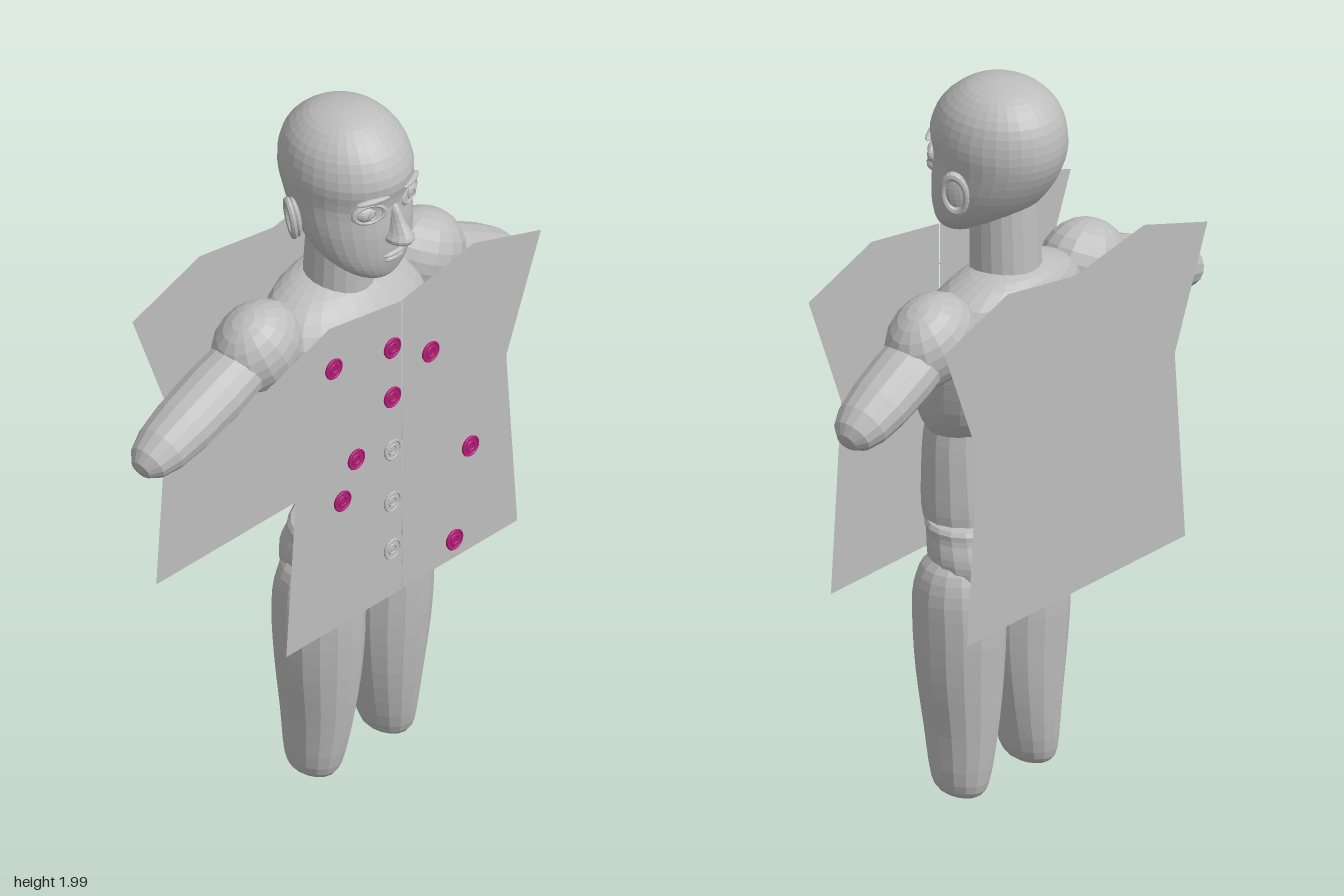
import * as THREE from 'three';

const CX = 0.037; // the figure stands slightly off the garment's centre
const grey = new THREE.MeshStandardMaterial({ color: 0xbdbdbd, flatShading: true, side: THREE.DoubleSide });
grey.name = 'grey';
const magenta = new THREE.MeshStandardMaterial({ color: 0xb01c74, flatShading: true, side: THREE.DoubleSide });
magenta.name = 'magenta';

function add(parent, name, geometry, material = grey, x = 0, y = 0, z = 0) {
  const mesh = new THREE.Mesh(geometry, material);
  mesh.name = name;
  mesh.position.set(x, y, z);
  parent.add(mesh);
  return mesh;
}

// Smooth loft through rows of [y, half width, front z, back z, centre x]
function loft(rows, rings = 24, sides = 24) {
  const curve = (f) => new THREE.CatmullRomCurve3(rows.map(f), false, 'catmullrom', 0.5);
  const a = curve((r) => new THREE.Vector3(r[1], r[0], r[4] || 0));
  const b = curve((r) => new THREE.Vector3(r[2], r[3], 0));
  const pos = [], index = [];
  for (let i = 0; i <= rings; i++) {
    const p = a.getPoint(i / rings), q = b.getPoint(i / rings);
    for (let j = 0; j < sides; j++) {
      const t = (j / sides) * Math.PI * 2;
      pos.push(p.z + Math.max(p.x, 0) * Math.sin(t), p.y, (q.x + q.y) / 2 + ((q.x - q.y) / 2) * Math.cos(t));
      if (i < rings) {
        const k = i * sides + j, n = i * sides + ((j + 1) % sides);
        index.push(k, n, n + sides, k, n + sides, k + sides);
      }
    }
  }
  const g = new THREE.BufferGeometry();
  g.setAttribute('position', new THREE.Float32BufferAttribute(pos, 3));
  g.setIndex(index);
  g.computeVertexNormals();
  return g;
}

function ellipsoid(rx, ry, rz, w = 16, h = 12) {
  return new THREE.SphereGeometry(1, w, h).scale(rx, ry, rz);
}

function buildHead(body) {
  const head = new THREE.Group();
  head.name = 'head';
  body.add(head);
  add(head, 'skull', loft([
    [1.545, 0, 0.13, 0.13], [1.552, 0.05, 0.16, 0.085], [1.585, 0.1, 0.175, 0.03], [1.63, 0.135, 0.185, -0.06],
    [1.7, 0.153, 0.188, -0.125], [1.78, 0.157, 0.183, -0.17], [1.85, 0.161, 0.195, -0.18],
    [1.92, 0.143, 0.165, -0.16], [1.97, 0.1, 0.11, -0.11], [1.992, 0.05, 0.06, -0.055], [2, 0, 0.005, 0.005],
  ], 30, 32));
  add(head, 'nose', loft([
    [1.672, 0, 0.2, 0.2], [1.678, 0.03, 0.232, 0.15], [1.692, 0.038, 0.243, 0.15], [1.71, 0.027, 0.234, 0.15],
    [1.74, 0.017, 0.212, 0.15], [1.775, 0.013, 0.192, 0.15], [1.795, 0, 0.17, 0.17],
  ], 14, 14));
  add(head, 'upperLip', ellipsoid(0.04, 0.009, 0.012, 12, 8), grey, 0, 1.634, 0.181);
  add(head, 'lowerLip', ellipsoid(0.034, 0.01, 0.012, 12, 8), grey, 0, 1.618, 0.178);
  for (const s of [-1, 1]) {
    // Eyeball, iris ring, lids and brow
    add(head, 'eyeball', ellipsoid(0.037, 0.027, 0.032), grey, s * 0.071, 1.775, 0.142);
    add(head, 'iris', new THREE.TorusGeometry(0.012, 0.003, 6, 16), grey, s * 0.071, 1.775, 0.173);
    const lids = add(head, 'eyelids', new THREE.TorusGeometry(0.042, 0.009, 8, 24).scale(1, 0.62, 1), grey, s * 0.071, 1.775, 0.16);
    lids.rotation.y = s * 0.4;
    const brow = add(head, 'brow', ellipsoid(0.048, 0.009, 0.012, 12, 8), grey, s * 0.07, 1.818, 0.172);
    brow.rotation.set(0, s * 0.4, s * -0.08);
    // Ear with a raised rim
    const ear = new THREE.Group();
    ear.name = 'ear';
    ear.position.set(s * 0.178, 1.742, 0);
    ear.rotation.set(0.1, s * 0.5, s * -0.2);
    add(ear, 'earShell', ellipsoid(0.014, 0.062, 0.036));
    add(ear, 'earRim', new THREE.TorusGeometry(0.036, 0.009, 8, 20).rotateY(Math.PI / 2).scale(1, 1.5, 0.85), grey, s * 0.012);
    head.add(ear);
  }
}

function buildBody(root) {
  const body = new THREE.Group();
  body.name = 'body';
  body.position.x = CX;
  root.add(body);
  buildHead(body);
  const neck = add(body, 'neck', new THREE.CylinderGeometry(0.088, 0.096, 0.27, 20, 4), grey, 0, 1.53, -0.014);
  neck.rotation.x = 0.04;
  add(body, 'chest', loft([
    [0.965, 0, 0.06, 0.06], [0.975, 0.07, 0.13, 0.02], [1.01, 0.15, 0.175, -0.025], [1.08, 0.205, 0.198, -0.085],
    [1.2, 0.24, 0.2, -0.13], [1.35, 0.257, 0.16, -0.158], [1.43, 0.22, 0.11, -0.155],
    [1.475, 0.14, 0.06, -0.13], [1.495, 0.06, 0, -0.08], [1.5, 0, -0.04, -0.04],
  ]));
  add(body, 'waist', loft([
    [0.66, 0.1, 0.13, -0.03], [0.72, 0.165, 0.17, -0.07], [0.79, 0.182, 0.198, -0.078],
    [0.9, 0.178, 0.2, -0.065], [1, 0.17, 0.195, -0.05], [1.1, 0.15, 0.18, -0.04],
  ], 14, 20));
  add(body, 'hips', loft([
    [0.53, 0, 0.05, 0.05], [0.54, 0.045, 0.1, 0], [0.57, 0.1, 0.135, -0.07], [0.62, 0.185, 0.158, -0.125],
    [0.68, 0.208, 0.165, -0.128], [0.74, 0.2, 0.17, -0.105], [0.78, 0.18, 0.168, -0.083], [0.79, 0, 0.05, 0.05],
  ]));
  const legShape = loft([
    [0.01, 0, 0.022, 0.022, 0.135], [0.018, 0.038, 0.075, -0.035, 0.135], [0.06, 0.066, 0.105, -0.06, 0.132],
    [0.2, 0.09, 0.13, -0.075, 0.123], [0.36, 0.112, 0.147, -0.084, 0.123], [0.5, 0.118, 0.155, -0.09, 0.125],
    [0.61, 0.115, 0.15, -0.08, 0.125], [0.68, 0.085, 0.11, -0.05, 0.122], [0.72, 0, 0.02, 0.02, 0.12],
  ], 24, 16);
  for (const s of [-1, 1]) {
    add(body, s > 0 ? 'leftLeg' : 'rightLeg', legShape).scale.x = s;
  }
}

// Rounded shoulder and a tapered stump arm pointing out and down
function buildArm(root, name, shoulderX, shoulderR, tipX) {
  const arm = new THREE.Group();
  arm.name = name;
  root.add(arm);
  const s = Math.sign(tipX);
  const shoulder = add(arm, 'shoulder', ellipsoid(shoulderR, 0.117, 0.108), grey, shoulderX, 1.38, -0.03);
  shoulder.rotation.z = -s * 0.45;
  const start = new THREE.Vector3(shoulderX - s * 0.03, 1.388, -0.03);
  const dir = new THREE.Vector3(tipX, 1.205, -0.028).sub(start);
  const L = dir.length();
  const profile = [[0, 0], [0.05, 0.02], [0.08, 0.07], [0.087, 0.4], [0.083, 0.65], [0.073, 0.82], [0.055, 0.93], [0.03, 0.985], [0, 1]];
  const mesh = add(arm, 'forearm', new THREE.LatheGeometry(profile.map(([r, t]) => new THREE.Vector2(r, t * L)), 16), grey, start.x, start.y, start.z);
  mesh.scale.set(0.92, 1, 1.02);
  mesh.quaternion.setFromUnitVectors(new THREE.Vector3(0, 1, 0), dir.normalize());
}

// Flat garment sheets: one back piece, two front pieces meeting at a slit
function buildGarment(root) {
  const c = 0.02;
  const half = [[0.265, 1.554], [0.51, 1.472], [0.383, 1.145], [0.423, 0.612]];
  const sheet = (pts) => new THREE.ShapeGeometry(new THREE.Shape(pts.map(([x, y]) => new THREE.Vector2(x, y))));
  const mirrored = half.map(([x, y]) => [c - x, y]).reverse();
  const left = half.map(([x, y]) => [c + x, y]);
  add(root, 'backPanel', sheet([[c + 0.004, 1.509], ...left, ...mirrored]), grey, 0, 0, -0.238);
  add(root, 'frontLeftPanel', sheet([[c + 0.003, 1.509], ...left, [c + 0.003, 0.612]]), grey, 0, 0, 0.222);
  add(root, 'frontRightPanel', sheet([[c - 0.002, 1.509], [c - 0.002, 0.612], ...mirrored]), grey, 0, 0, 0.224);
}

// Four-hole button with a raised rim
function buildButton(root, x, y, material) {
  const button = new THREE.Group();
  button.name = 'button';
  button.position.set(x, y, 0.226);
  const disc = new THREE.Shape().absarc(0, 0, 0.028, 0, Math.PI * 2);
  for (const [i, j] of [[-1, -1], [-1, 1], [1, -1], [1, 1]]) {
    disc.holes.push(new THREE.Path().absarc(i * 0.005, j * 0.005, 0.0025, 0, Math.PI * 2, true));
  }
  add(button, 'buttonDisc', new THREE.ExtrudeGeometry(disc, { depth: 0.005, bevelEnabled: false, curveSegments: 10 }), material);
  for (const r of [0.027, 0.013]) {
    add(button, 'buttonRim', new THREE.TorusGeometry(r, 0.003, 6, 20), material, 0, 0, 0.005);
  }
  root.add(button);
}

export function createModel() {
  const root = new THREE.Group();
  root.name = 'figureWithGarment';
  buildBody(root);
  buildArm(root, 'leftArm', 0.345, 0.135, 0.675);
  buildArm(root, 'rightArm', -0.25, 0.13, -0.683);
  buildGarment(root);
  // Button row beside the slit
  [1.385, 1.232, 1.069, 0.908, 0.76].forEach((y, i) => buildButton(root, -0.021, y, i < 2 ? magenta : grey));
  // Scattered buttons
  [[-0.235, 1.427], [0.119, 1.303], [-0.153, 1.105], [-0.203, 1], [0.264, 0.937], [0.206, 0.675]]
    .forEach(([x, y]) => buildButton(root, x, y, magenta));
  return root;
}
